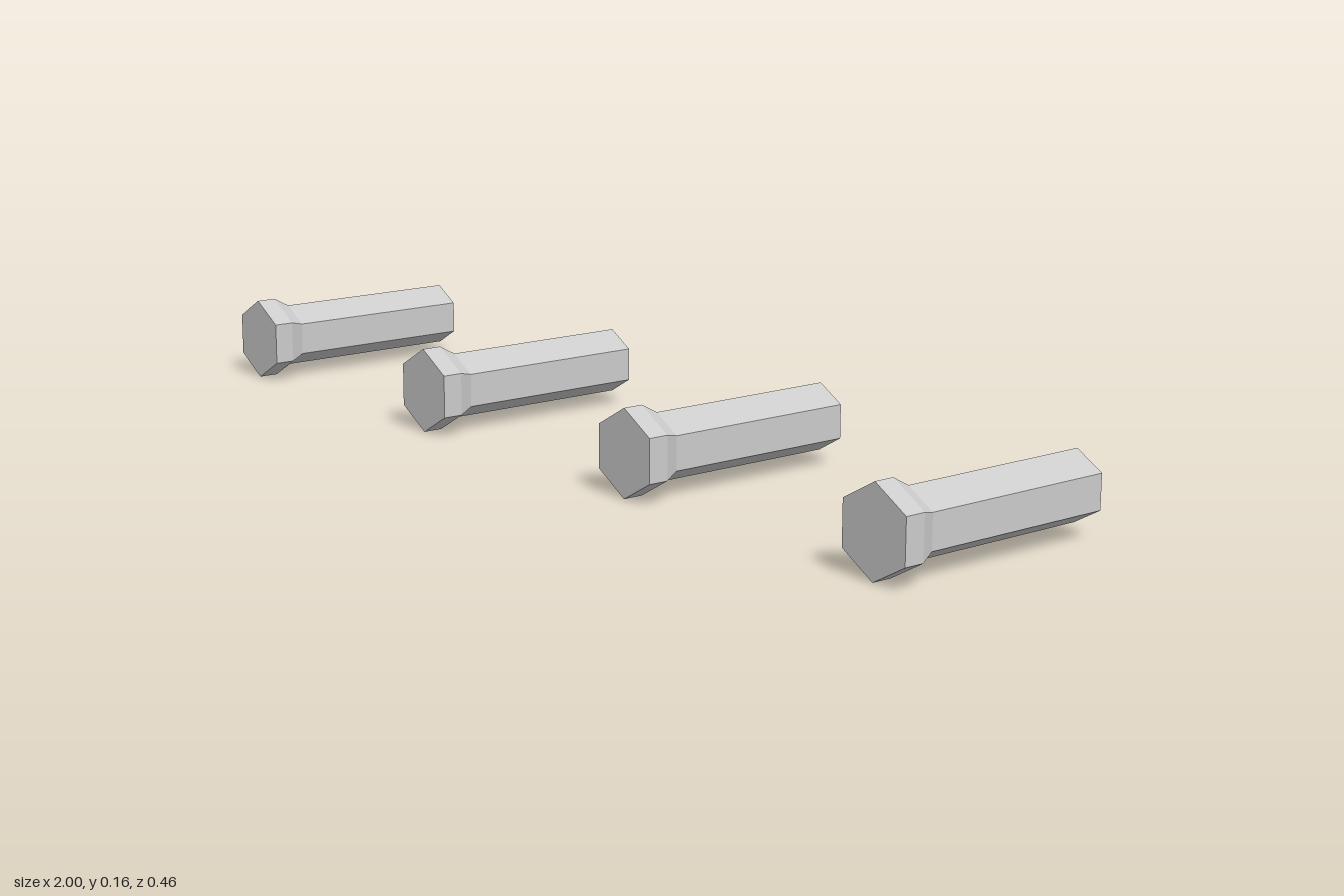
import * as THREE from 'three';

export function createModel() {
  const group = new THREE.Group();
  const material = new THREE.MeshStandardMaterial({ color: 0xcccccc, flatShading: true });

  const headRadius = 0.081, shaftRadius = 0.063;

  // Closed profile (radius, distance along the axis), from the shaft end to the head face
  const profile = [
    [0, -0.228],
    [shaftRadius, -0.228],
    [shaftRadius, 0.156],
    [headRadius, 0.189],
    [headRadius, 0.228],
    [0, 0.228],
  ].map(([r, z]) => new THREE.Vector2(r, z));

  // Hexagonal pin lying along z, head to the front, corners up and down
  const geometry = new THREE.LatheGeometry(profile, 6);
  geometry.rotateX(Math.PI / 2);

  // Row of four equal pins
  for (let i = 0; i < 4; i++) {
    const pin = new THREE.Mesh(geometry, material);
    pin.name = `hexPin${i + 1}`;
    pin.position.set(-0.93 + i * 0.62, headRadius, 0);
    group.add(pin);
  }
  return group;
}
